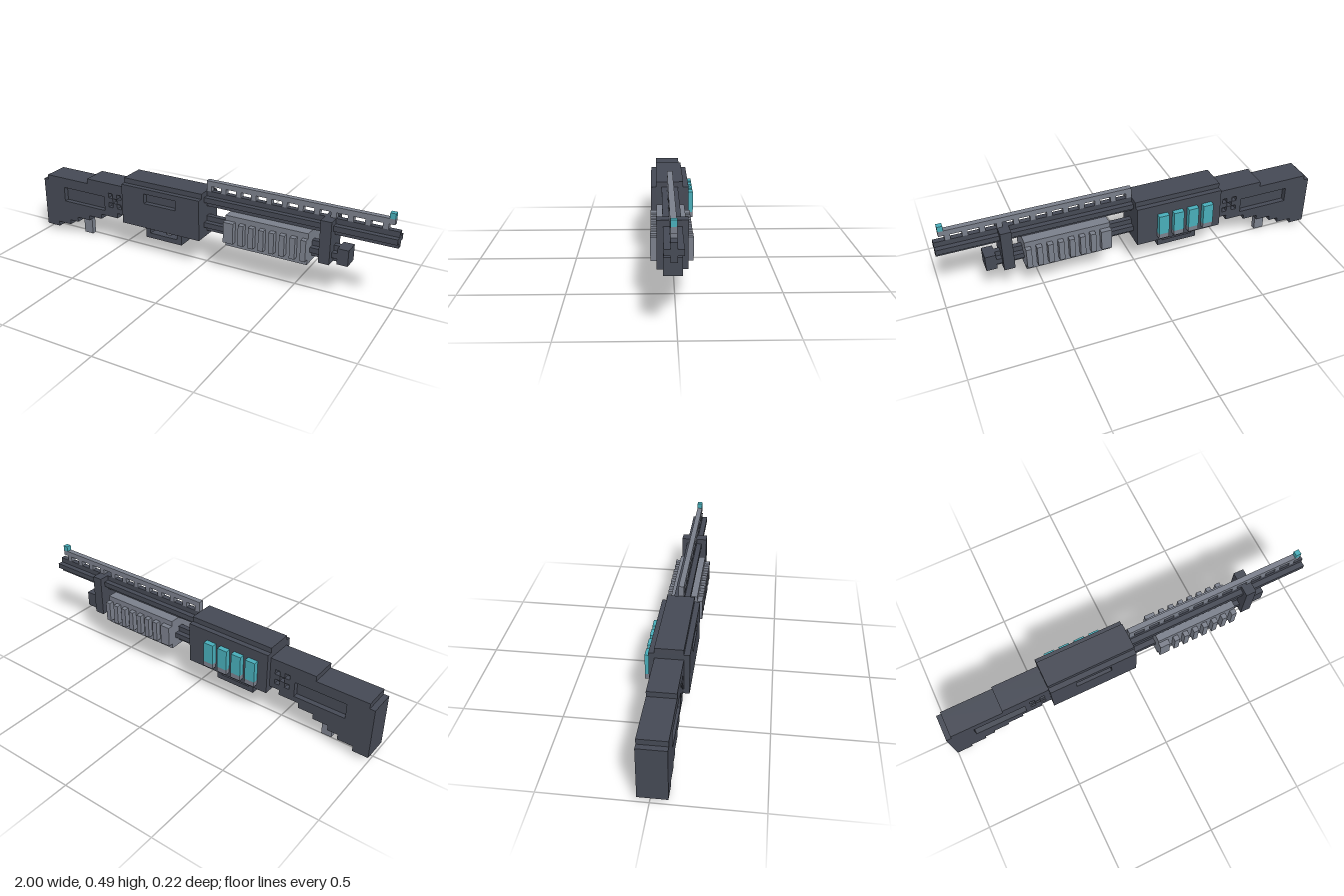
import * as THREE from 'three';

const U = 2 / 73; // size of one block; the model is 73 blocks long
const dark = new THREE.MeshStandardMaterial({ name: 'dark metal', color: 0x454954 });
const grey = new THREE.MeshStandardMaterial({ name: 'grey metal', color: 0x7a7f8b });
const teal = new THREE.MeshStandardMaterial({ name: 'teal', color: 0x48adb9 });

export function createModel() {
  const model = new THREE.Group();
  model.name = 'blockShotgun';

  // Box given by its limits in blocks
  function box(name, mat, x0, x1, y0, y1, z0, z1) {
    const mesh = new THREE.Mesh(new THREE.BoxGeometry((x1 - x0) * U, (y1 - y0) * U, (z1 - z0) * U), mat);
    mesh.position.set(((x0 + x1) / 2 - 36.5) * U, ((y0 + y1) / 2) * U, ((z0 + z1) / 2) * U);
    mesh.name = name;
    model.add(mesh);
  }

  // Plate of a side outline in blocks, with rectangular holes [x0, x1, y0, y1]
  function plate(name, mat, outline, holes, z0, z1) {
    const toPoint = ([x, y]) => new THREE.Vector2((x - 36.5) * U, y * U);
    const shape = new THREE.Shape(outline.map(toPoint));
    for (const [x0, x1, y0, y1] of holes) {
      const g = 0.02; // keeps corner-to-corner holes apart
      shape.holes.push(new THREE.Path(
        [[x0 + g, y0 + g], [x0 + g, y1 - g], [x1 - g, y1 - g], [x1 - g, y0 + g]].map(toPoint)));
    }
    const geo = new THREE.ExtrudeGeometry(shape, { depth: (z1 - z0) * U, bevelEnabled: false });
    const mesh = new THREE.Mesh(geo, mat);
    mesh.position.z = z0 * U;
    mesh.name = name;
    model.add(mesh);
  }

  // Rod with a plus-shaped section, three blocks across
  function plusRod(name, mat, x0, x1, y0) {
    box(name, mat, x0, x1, y0, y0 + 3, 0, 1);
    box(name + 'Front', mat, x0, x1, y0 + 1, y0 + 2, 1, 2);
    box(name + 'Back', mat, x0, x1, y0 + 1, y0 + 2, -1, 0);
  }

  // Stepped stock with sunken panel and checkered grip on both sides
  const stock = [[0, 1], [3, 1], [3, 2], [6, 2], [6, 3], [8, 3], [8, 4], [11, 4], [11, 5], [14, 5],
    [14, 6], [18, 6], [18, 7], [20, 7], [20, 13], [11, 13], [11, 12], [1, 12], [1, 11], [0, 11]];
  const recesses = [[5, 15, 7, 10]];
  for (let i = 0; i < 3; i++)
    for (let j = 0; j < 3; j++)
      if ((i + j) % 2 === 0) recesses.push([16 + i, 17 + i, 8 + j, 9 + j]);
  plate('stockCore', dark, stock, [], -1, 2);
  plate('stockLeftSide', dark, stock, recesses, 2, 3);
  plate('stockRightSide', dark, stock, recesses, -2, -1);
  box('stockPeg', grey, 8, 10, 0, 4, 0, 1);

  // Receiver with a narrower top and an ejection slot
  box('receiver', dark, 20, 37, 6, 14, -3, 3);
  plate('receiverSlotSide', dark, [[20, 6], [37, 6], [37, 14], [20, 14]], [[25, 32, 11, 13]], 3, 4);
  box('receiverTop', dark, 20, 37, 14, 15, -2, 3);

  // Spare shells on the back of the receiver
  for (let x = 22; x < 34; x += 3) {
    box('shellBase', grey, x, x + 2, 7, 8, -4, -3);
    box('shellCase', teal, x, x + 2, 8, 12, -4, -3);
  }

  // Trigger and its guard
  box('guardBottom', dark, 24, 32, 3, 4, -1, 2);
  box('guardRear', dark, 24, 25, 4, 6, -1, 2);
  box('guardFront', dark, 31, 32, 4, 6, -1, 2);
  box('trigger', grey, 28, 29, 4, 6, 0, 1);

  // Barrel, magazine tube and the clamp joining them
  plusRod('barrel', dark, 37, 73, 12);
  plusRod('magazineTube', dark, 37, 63, 7);
  box('magazineCap', dark, 63, 65, 7, 10, -1, 2);
  box('clamp', dark, 60, 62, 7, 15, -2, 3);

  // Ventilated rail and bead sight
  box('rail', grey, 37, 72, 16, 17, 0, 1);
  for (let x = 37; x <= 70; x += 3) box('railPost', grey, x, x + 1, 15, 16, 0, 1);
  box('frontSight', teal, 71, 72, 17, 18, 0, 1);

  // Ribbed pump handle
  box('pump', grey, 42, 58, 6, 12, -2, 3);
  for (const z of [-3, 3]) {
    box('pumpRib', grey, 42, 44, 7, 11, z, z + 1);
    for (let x = 45; x <= 57; x += 2) box('pumpRib', grey, x, x + 1, 7, 11, z, z + 1);
  }
  return model;
}
